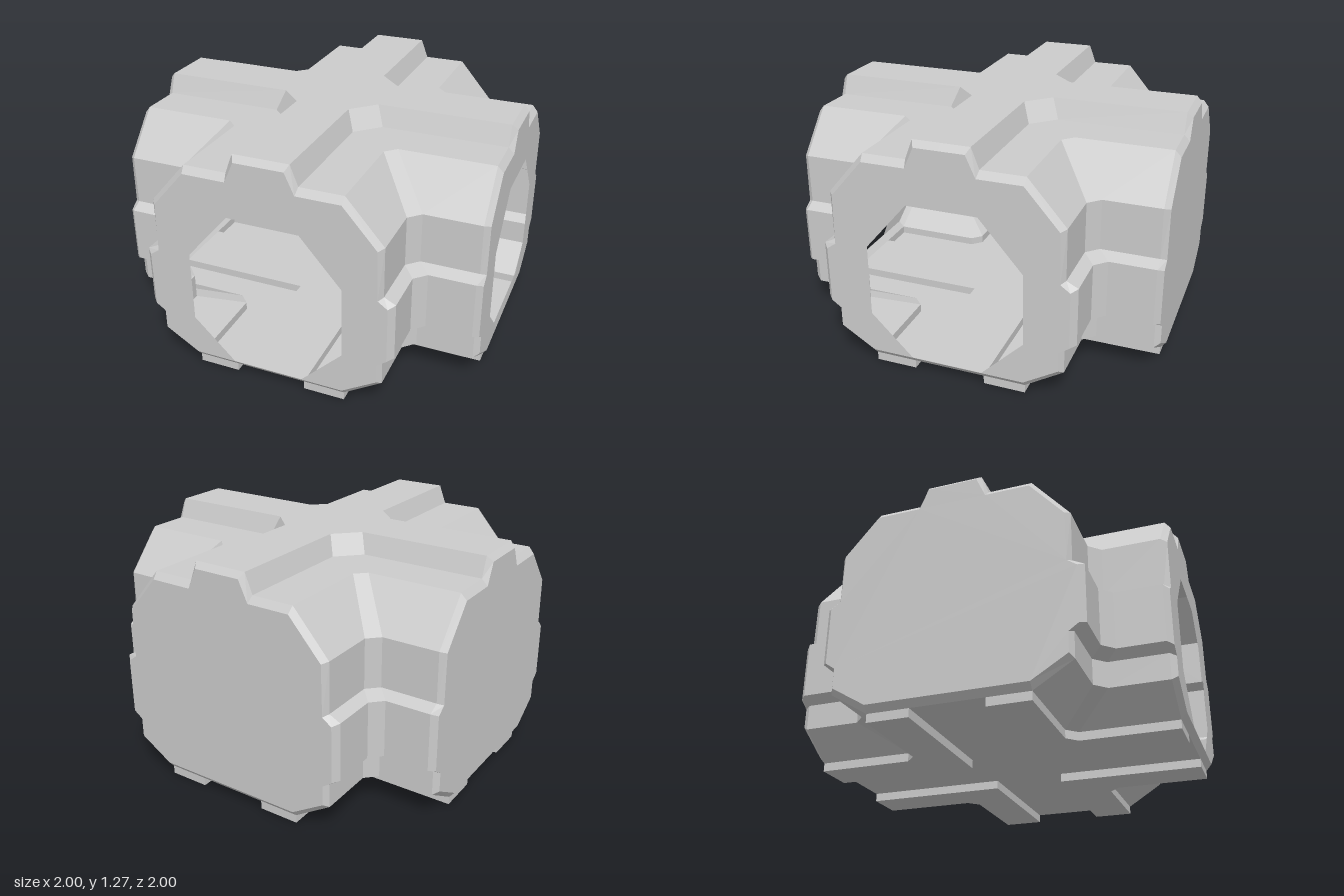
import * as THREE from 'three';

const FOOT_END = 0.97;

// Arm cross-section from floor centre to roof centre:
// [half width, height, chamfer at the inner corner, half width at the end rim, height at the end rim]
const PROFILE = [
  [0, 0.045, 0, 0, 0.08],
  [0.19, 0.045, 0, 0.19, 0.08],
  [0.19, 0, 0, 0.19, 0.08],
  [0.41, 0, 0.055, 0.41, 0.08],
  [0.41, 0.045, 0.055, 0.41, 0.08],
  [0.61, 0.17, 0.06, 0.59, 0.19],
  [0.61, 0.305, 0.06, 0.59, 0.295],
  [0.67, 0.34, 0.06, 0.64, 0.33],
  [0.67, 0.645, 0.06, 0.64, 0.63],
  [0.61, 0.675, 0.06, 0.59, 0.665],
  [0.61, 0.94, 0.06, 0.585, 0.93],
  [0.415, 1.165, 0.055, 0.41, 1.13],
  [0.187, 1.165, 0.12, 0.18, 1.13],
  [0.147, 1.27, 0.12, 0.13, 1.24],
  [0, 1.27, 0, 0, 1.24],
];

// One quarter of the shell: every profile point is swept from the z arm round the corner to the x arm
function quarterGeometry() {
  const rows = PROFILE.map(([w, y, c, rimW, rimY]) => {
    const edgeY = Math.max(y, 0.045);
    const half = [
      [rimW, rimY, 1],
      [w, edgeY, FOOT_END],
      [w, y, FOOT_END],
      [w, y, w + c],
    ];
    const mirrored = half.slice().reverse().map(([a, b, d]) => [d, b, a]);
    return [...half, ...mirrored].map((p) => new THREE.Vector3(...p));
  });
  const positions = [];
  const triangle = (a, b, c) => {
    if (new THREE.Triangle(a, b, c).getArea() < 1e-7) return;
    for (const p of [a, b, c]) positions.push(p.x, p.y, p.z);
  };
  for (let i = 0; i < rows.length - 1; i++) {
    for (let j = 0; j < rows[i].length - 1; j++) {
      const a = rows[i][j], b = rows[i][j + 1], c = rows[i + 1][j + 1], d = rows[i + 1][j];
      triangle(a, b, c);
      triangle(a, c, d);
    }
  }
  const geometry = new THREE.BufferGeometry();
  geometry.setAttribute('position', new THREE.Float32BufferAttribute(positions, 3));
  geometry.computeVertexNormals();
  return geometry;
}

// Flat end wall, with or without the octagonal doorway
function endWallGeometry(open) {
  const right = PROFILE.slice(4, -1).map(([, , , w, y]) => new THREE.Vector2(w, y));
  const left = right.slice().reverse().map((p) => new THREE.Vector2(-p.x, p.y));
  const shape = new THREE.Shape([...right, ...left]);
  if (open) {
    const side = [[0.19, 0.082], [0.41, 0.3], [0.41, 0.68], [0.185, 0.94]];
    const outline = [...side, ...side.slice().reverse().map(([x, y]) => [-x, y])];
    shape.holes.push(new THREE.Path(outline.map(([x, y]) => new THREE.Vector2(x, y))));
  }
  return new THREE.ShapeGeometry(shape).translate(0, 0, 1);
}

export function createModel() {
  const model = new THREE.Group();
  model.name = 'crossCorridor';
  const material = new THREE.MeshStandardMaterial({
    color: 0xcccccc,
    flatShading: true,
    side: THREE.DoubleSide,
  });

  const add = (name, geometry, turn) => {
    const mesh = new THREE.Mesh(geometry, material);
    mesh.name = name;
    mesh.rotation.y = (turn * Math.PI) / 2;
    model.add(mesh);
  };

  const quarter = quarterGeometry();
  const openWall = endWallGeometry(true);
  const closedWall = endWallGeometry(false);
  const quarters = ['frontLeftShell', 'backLeftShell', 'backRightShell', 'frontRightShell'];
  const walls = ['frontDoorwayWall', 'leftDoorwayWall', 'backWall', 'rightWall'];

  // Four shell quarters with their feet, two doorways and two closed ends
  for (let k = 0; k < 4; k++) {
    add(quarters[k], quarter, k);
    add(walls[k], k < 2 ? openWall : closedWall, k);
  }
  return model;
}
